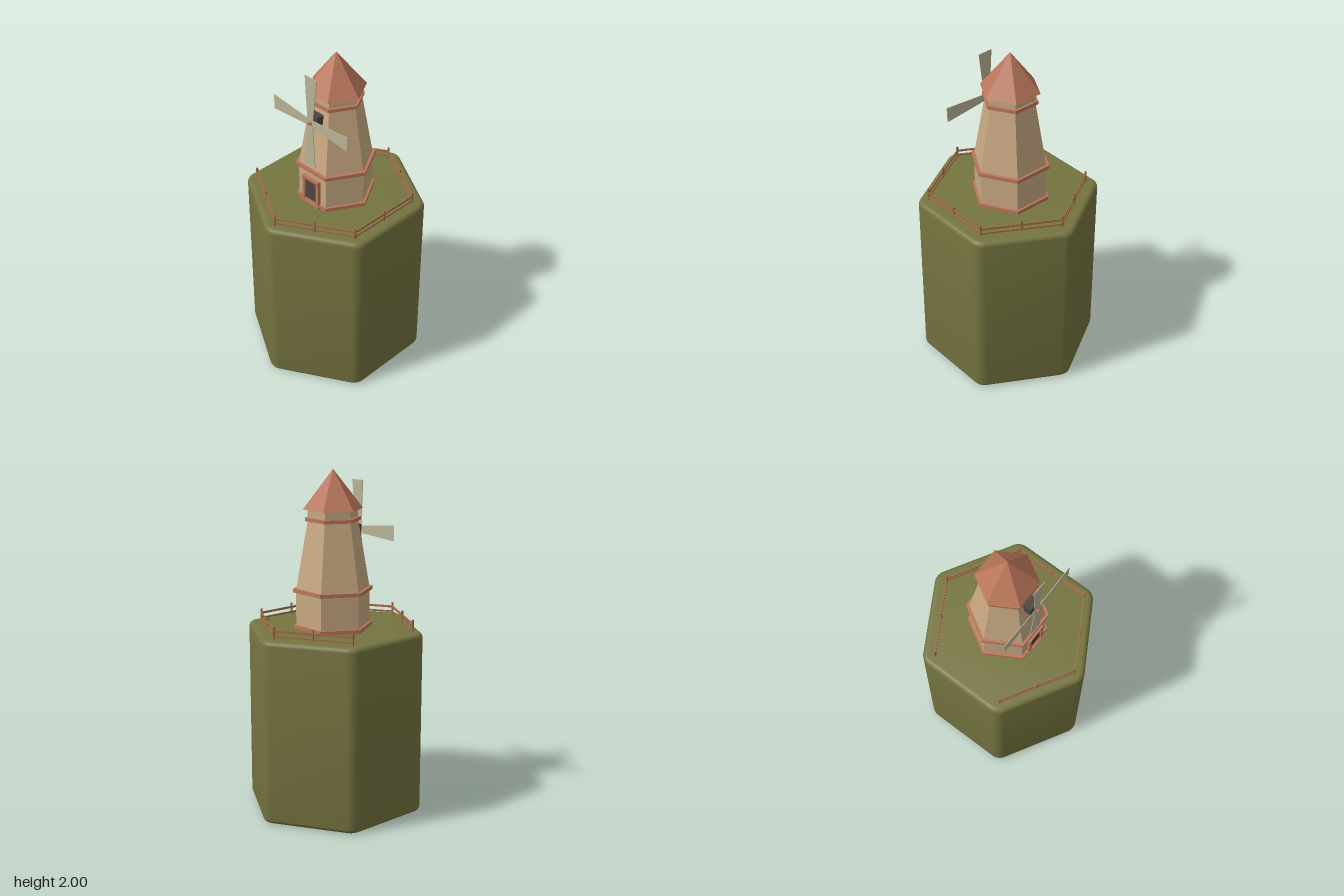
import * as THREE from 'three';
import { toCreasedNormals } from 'three/addons/utils/BufferGeometryUtils.js';

const material = (name, color) => {
  const m = new THREE.MeshStandardMaterial({ color });
  m.name = name;
  return m;
};

export function createModel() {
  const grass = material('mossGreen', 0x757440);
  const wall = material('tanWall', 0xc9a983);
  const terracotta = material('terracotta', 0xba775b);
  const canvas = material('sailCanvas', 0xb9b497);
  const dark = material('darkWood', 0x4c473d);
  const fenceWood = material('fenceWood', 0x9f6d49);

  const model = new THREE.Group();
  model.name = 'windmillOnHill';

  const add = (parent, name, geometry, mat, x = 0, y = 0, z = 0) => {
    const mesh = new THREE.Mesh(geometry, mat);
    mesh.name = name;
    mesh.position.set(x, y, z);
    parent.add(mesh);
    return mesh;
  };
  const box = (parent, name, w, h, d, mat, x, y, z) =>
    add(parent, name, new THREE.BoxGeometry(w, h, d), mat, x, y, z);

  // Hill: hexagonal block with rounded corners and rims
  const top = 1.085, rim = 0.03, core = 0.447;
  const outline = new THREE.Shape();
  for (let i = 0; i < 6; i++) {
    const a = Math.PI / 6 + (i * Math.PI) / 3;
    outline.absarc(core * Math.cos(a), core * Math.sin(a), 0.05, a - Math.PI / 6, a + Math.PI / 6, false);
  }
  outline.closePath();
  const hill = new THREE.ExtrudeGeometry(outline, {
    depth: top - 2 * rim, bevelThickness: rim, bevelSize: rim, bevelSegments: 12, curveSegments: 8,
  });
  hill.rotateX(-Math.PI / 2).translate(0, rim, 0);
  add(model, 'hill', toCreasedNormals(hill, 0.2), grass);

  // Tower: stacked flat-sided hexagons, one flat side to the front
  const tower = new THREE.Group();
  tower.name = 'tower';
  tower.position.z = -0.01;
  model.add(tower);
  const hexagon = (name, rTop, rBottom, y0, y1, mat) => {
    const g = new THREE.CylinderGeometry(rTop, rBottom, y1 - y0, 6, 1, false, Math.PI / 6);
    add(tower, name, toCreasedNormals(g, 0.1), mat, 0, (y0 + y1) / 2, 0);
  };
  hexagon('footing', 0.232, 0.232, top - 0.005, 1.107, terracotta);
  hexagon('lowerWall', 0.217, 0.217, top, 1.31, wall);
  hexagon('middleBand', 0.234, 0.234, 1.299, 1.32, terracotta);
  hexagon('taperedWall', 0.147, 0.217, 1.31, 1.71, wall);
  hexagon('upperBand', 0.163, 0.163, 1.708, 1.728, terracotta);
  hexagon('neck', 0.147, 0.147, 1.71, 1.785, wall);
  hexagon('roof', 0, 0.175, 1.775, 2, terracotta);

  // Door with frame and step
  const door = new THREE.Group();
  door.name = 'door';
  model.add(door);
  box(door, 'doorPanel', 0.094, 0.16, 0.02, dark, 0, top + 0.08, 0.177);
  for (const s of [-1, 1]) box(door, 'doorJamb', 0.018, 0.175, 0.03, terracotta, s * 0.054, top + 0.0875, 0.183);
  box(door, 'doorLintel', 0.126, 0.016, 0.03, terracotta, 0, 1.252, 0.183);
  box(door, 'doorStep', 0.144, 0.014, 0.03, terracotta, 0, top + 0.007, 0.187);

  // Axle housing and hub
  const hubY = 1.637;
  box(model, 'axleHousing', 0.076, 0.07, 0.07, dark, 0, hubY, 0.14);
  const shaft = new THREE.CylinderGeometry(0.01, 0.01, 0.05, 8).rotateX(Math.PI / 2);
  add(model, 'shaft', shaft, dark, 0, hubY, 0.175);
  const hub = new THREE.CylinderGeometry(0.008, 0.016, 0.016, 8).rotateX(Math.PI / 2);
  add(model, 'hub', toCreasedNormals(hub, 0.5), terracotta, 0, hubY, 0.199);

  // Four thin sails that widen toward the tip
  const sails = new THREE.Group();
  sails.name = 'sails';
  sails.position.set(0, hubY, 0.189);
  sails.rotation.z = -0.032;
  model.add(sails);
  const sailShape = new THREE.Shape();
  sailShape.moveTo(-0.02, 0.008);
  sailShape.lineTo(0.02, 0.008);
  sailShape.lineTo(0.045, 0.286);
  sailShape.lineTo(-0.045, 0.286);
  sailShape.closePath();
  const sail = new THREE.ExtrudeGeometry(sailShape, { depth: 0.004, bevelEnabled: false }).translate(0, 0, -0.002);
  for (let i = 0; i < 4; i++) add(sails, 'sail', sail, canvas).rotation.z = (i * Math.PI) / 2;

  // Fence along five sides, open on the -x side
  const fence = new THREE.Group();
  fence.name = 'fence';
  fence.position.z = 0.01;
  model.add(fence);
  const corner = (i) => {
    const a = -Math.PI / 6 + (i * Math.PI) / 3;
    return new THREE.Vector3(0.463 * Math.cos(a), 0, 0.463 * Math.sin(a));
  };
  const post = (p) => box(fence, 'fencePost', 0.009, 0.075, 0.009, fenceWood, p.x, top + 0.0335, p.z);
  for (let i = 0; i < 6; i++) {
    const a = corner(i), b = corner(i + 1);
    post(a);
    if (i === 3) continue;
    const mid = a.clone().lerp(b, 0.5);
    post(mid);
    for (const [y, h] of [[1.1, 0.01], [1.13, 0.012]]) {
      const rail = box(fence, 'fenceRail', a.distanceTo(b), h, 0.006, fenceWood, mid.x, y, mid.z);
      rail.rotation.y = -Math.atan2(b.z - a.z, b.x - a.x);
    }
  }
  return model;
}
